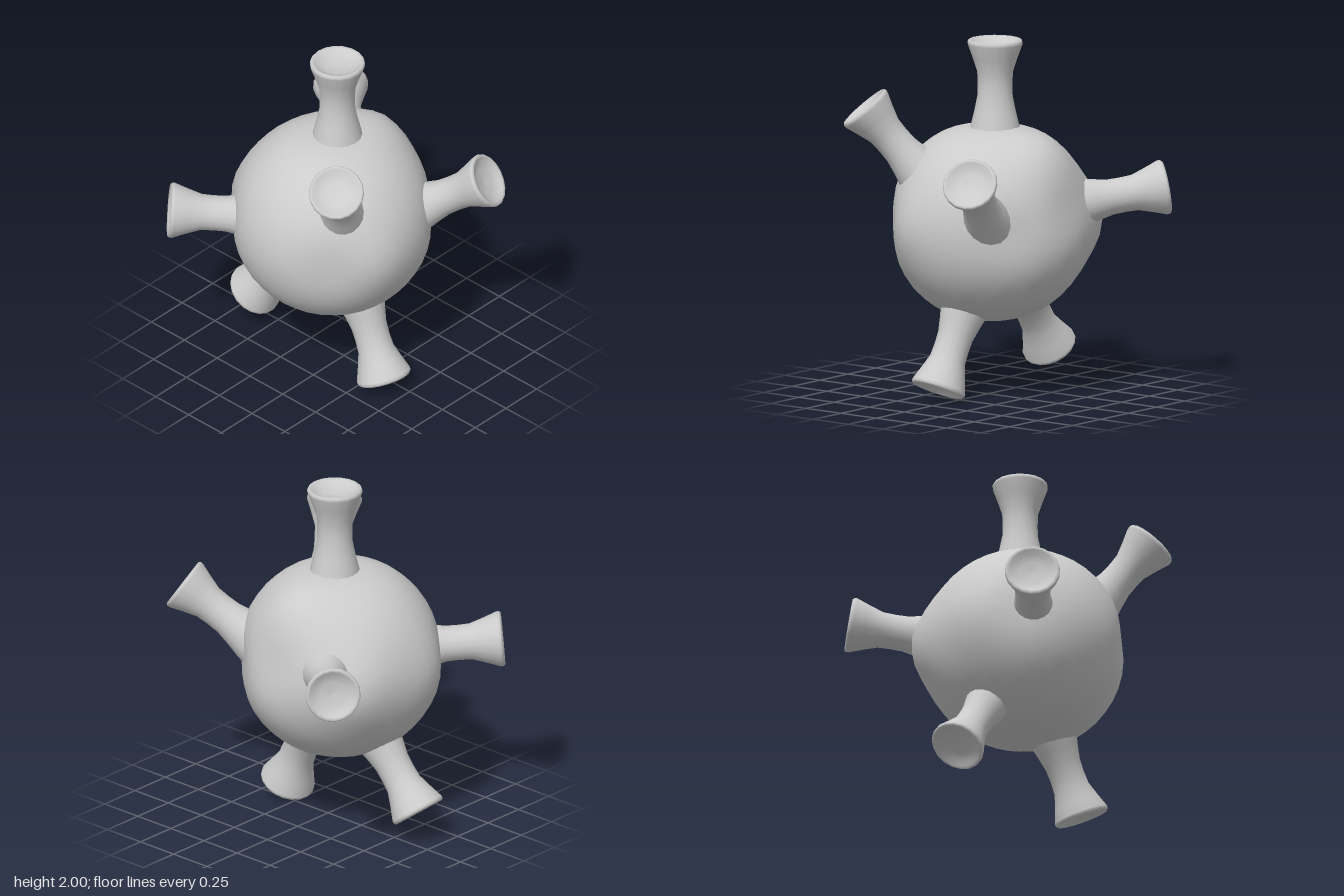
import * as THREE from 'three';
import { mergeVertices } from 'three/addons/utils/BufferGeometryUtils.js';

const material = new THREE.MeshStandardMaterial({ color: 0xcccccc, roughness: 0.8 });
const CENTER = new THREE.Vector3(-0.03, 0.97, -0.06);

// Gentle swellings and dents of the body: direction, radius change, angular width
const LUMPS = [
  [[0.40, 0, -0.49], 0.06, 0.35],
  [[0.43, 0.47, 0], 0.05, 0.35],
  [[-0.21, 0, -0.57], 0.04, 0.35],
  [[-0.22, 0, 0.56], 0.03, 0.3],
  [[0.41, 0, 0.35], -0.035, 0.3],
  [[-0.39, 0, 0.38], -0.035, 0.35],
  [[-0.34, 0, -0.44], -0.03, 0.3],
  [[0, 1, 0], -0.03, 0.35],
  [[0, -1, 0], -0.015, 0.4],
  [[0.57, -0.17, 0.05], 0.015, 0.3],
  [[1, 0.2, 0], -0.025, 0.3],
].map(([d, amount, width]) => ({ dir: new THREE.Vector3(...d).normalize(), amount, width }));

// Rounded, slightly uneven body
function makeBody() {
  let geometry = new THREE.IcosahedronGeometry(1, 7);
  geometry.deleteAttribute('normal');
  geometry.deleteAttribute('uv');
  geometry = mergeVertices(geometry);
  const p = geometry.attributes.position;
  const v = new THREE.Vector3();
  for (let i = 0; i < p.count; i++) {
    v.fromBufferAttribute(p, i).normalize();
    let r = 0.572;
    for (const l of LUMPS) r += l.amount * Math.exp(-((v.angleTo(l.dir) / l.width) ** 2));
    v.multiplyScalar(r);
    p.setXYZ(i, v.x, v.y, v.z);
  }
  geometry.computeVertexNormals();
  const body = new THREE.Mesh(geometry, material);
  body.name = 'body';
  body.position.copy(CENTER);
  return body;
}

// Spike profile: flared foot, slim neck, trumpet rim and a shallow dished end (tip at y = 0)
const PROFILE = [
  [0.155, -0.58], [0.138, -0.49], [0.116, -0.4], [0.1, -0.32], [0.098, -0.25], [0.101, -0.18],
  [0.127, -0.1], [0.154, -0.025], [0.154, -0.01], [0.146, 0], [0.132, -0.004],
  [0.11, -0.022], [0.07, -0.036], [0, -0.042],
].map(([r, y]) => new THREE.Vector2(r, y));
const spikeGeometry = new THREE.LatheGeometry(PROFILE, 18);

// Each spike: where it leaves the body, and the centre of its tip
const SPIKES = {
  topSpike: [[0.005, 1.5, -0.055], [0.005, 2, -0.055]],
  frontRightSpike: [[-0.3, 1.28, 0.26], [-0.535, 1.63, 0.44]],
  frontLeftSpike: [[0.27, 1.08, 0.36], [0.43, 1.335, 0.705]],
  backLeftSpike: [[0.45, 1.095, -0.41], [0.715, 1.157, -0.695]],
  backRightSpike: [[-0.46, 1.01, -0.43], [-0.7, 1.04, -0.68]],
  bottomFrontSpike: [[-0.04, 0.47, 0.18], [-0.065, 0.065, 0.37]],
  bottomBackSpike: [[-0.04, 0.51, -0.38], [-0.062, 0.175, -0.63]],
};

function makeSpike(name, from, to) {
  const tip = new THREE.Vector3(...to);
  const dir = tip.clone().sub(new THREE.Vector3(...from)).normalize();
  const spike = new THREE.Mesh(spikeGeometry, material);
  spike.name = name;
  spike.position.copy(tip);
  spike.quaternion.setFromUnitVectors(new THREE.Vector3(0, 1, 0), dir);
  return spike;
}

export function createModel() {
  const model = new THREE.Group();
  model.name = 'spikedSphere';
  model.add(makeBody());
  for (const [name, [from, to]] of Object.entries(SPIKES)) model.add(makeSpike(name, from, to));
  return model;
}
